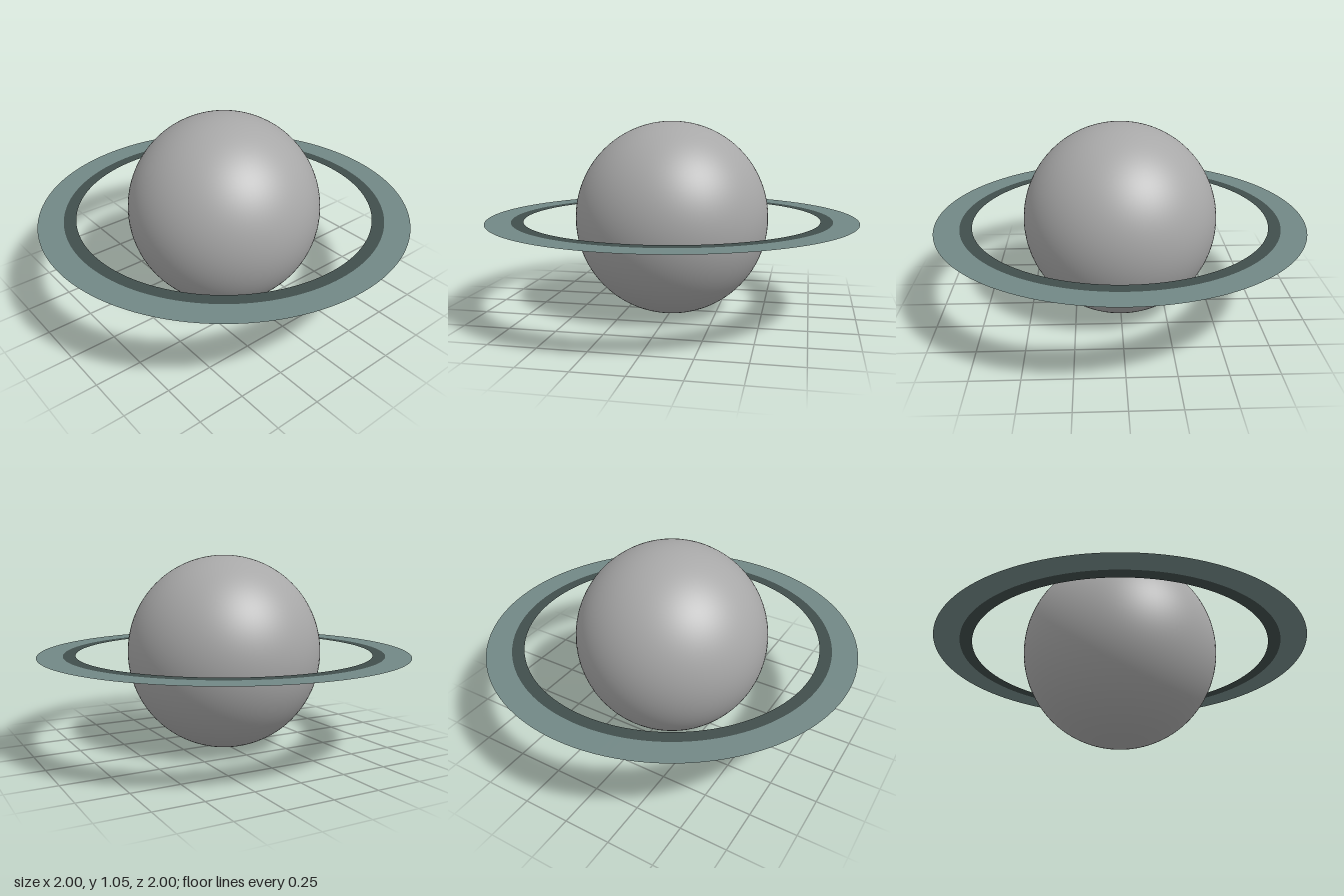
import * as THREE from 'three';

const RADIUS = 0.525;

function material(name, color, side = THREE.FrontSide) {
  const m = new THREE.MeshStandardMaterial({ color, side });
  m.name = name;
  return m;
}

// Flat ring lying level around the planet's equator
function makeRing(name, inner, outer, mat) {
  const geometry = new THREE.RingGeometry(inner, outer, 128);
  geometry.rotateX(-Math.PI / 2);
  const ring = new THREE.Mesh(geometry, mat);
  ring.name = name;
  ring.position.y = RADIUS;
  return ring;
}

export function createModel() {
  const group = new THREE.Group();
  group.name = 'ringedPlanet';

  // Smooth globe resting on the ground plane
  const globe = new THREE.Mesh(
    new THREE.SphereGeometry(RADIUS, 96, 64),
    material('planet grey', 0xa8a8a8)
  );
  globe.name = 'globe';
  globe.position.y = RADIUS;
  group.add(globe);

  // Two touching bands of the ring, without thickness
  group.add(makeRing('innerRing', 0.8, 0.865, material('dark teal grey', 0x414e4c, THREE.DoubleSide)));
  group.add(makeRing('outerRing', 0.865, 1, material('teal grey', 0x728886, THREE.DoubleSide)));

  return group;
}
